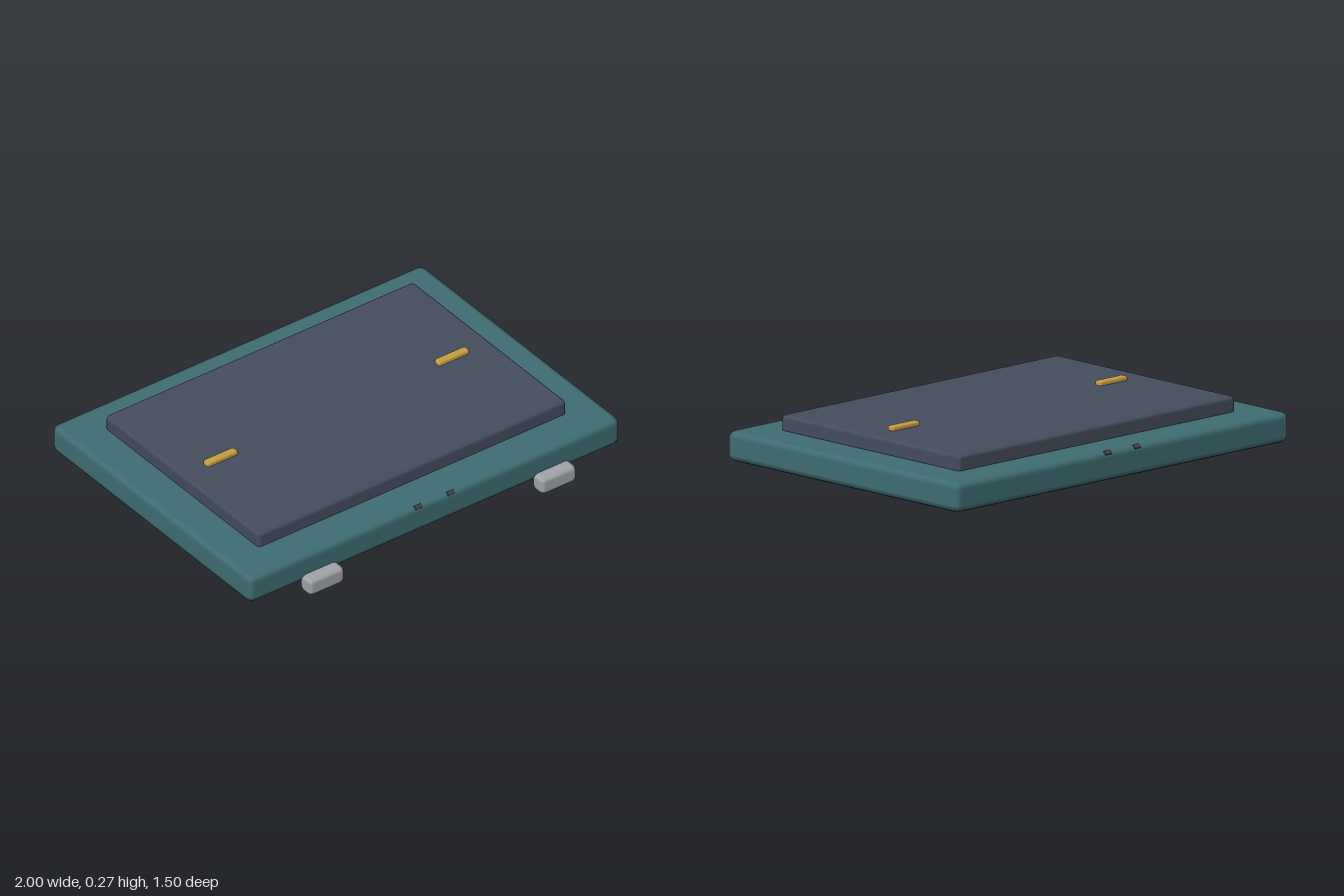
import * as THREE from 'three';
import { RoundedBoxGeometry } from 'three/addons/geometries/RoundedBoxGeometry.js';

export function createModel() {
  const model = new THREE.Group();
  model.name = 'hingedLid';

  const material = (name, color) => {
    const m = new THREE.MeshStandardMaterial({ color });
    m.name = name;
    return m;
  };
  const teal = material('teal', 0x3f6e73);
  const slate = material('slate', 0x454d5e);
  const brass = material('brass', 0xc79f42);
  const steel = material('steel', 0xa2a5a9);
  const plum = material('plum', 0x453f52);

  // Bevelled box given by its minimum and maximum corners
  function block(name, min, max, bevel, mat) {
    const size = max.map((v, i) => v - min[i]);
    const mesh = new THREE.Mesh(new RoundedBoxGeometry(...size, 1, bevel), mat);
    mesh.position.set(...max.map((v, i) => (v + min[i]) / 2));
    mesh.name = name;
    model.add(mesh);
    return mesh;
  }

  // Lid slab and raised panel
  block('lidSlab', [-1, 0.045, -0.745], [1, 0.182, 0.69], 0.032, teal);
  block('raisedPanel', [-0.83, 0.17, -0.582], [0.83, 0.252, 0.525], 0.018, slate);

  for (const side of [-1, 1]) {
    const label = side > 0 ? 'left' : 'right';

    // Hinge barrels under the front edge
    const hinge = block(label + 'Hinge', [-0.095, 0, 0.67], [0.095, 0.083, 0.75], 0.022, steel);
    hinge.position.x = side * 0.625;

    // Small brass bars on the panel
    const bar = block(label + 'Bar', [-0.083, 0.235, -0.045], [0.083, 0.272, -0.005], 0.011, brass);
    bar.position.x = side * 0.623;

    // Thin marks set on the slab's bevelled edges: [y, z, tilt]
    for (const [y, z, tilt] of [
      [0.173, 0.681, Math.PI / 4],
      [0.054, 0.681, -Math.PI / 4],
      [0.173, -0.736, -Math.PI / 4],
    ]) {
      const mark = new THREE.Mesh(new THREE.BoxGeometry(0.036, 0.006, 0.02), plum);
      mark.position.set(side * 0.087, y, z);
      mark.rotation.x = tilt;
      mark.name = label + 'EdgeMark';
      model.add(mark);
    }
  }
  return model;
}
